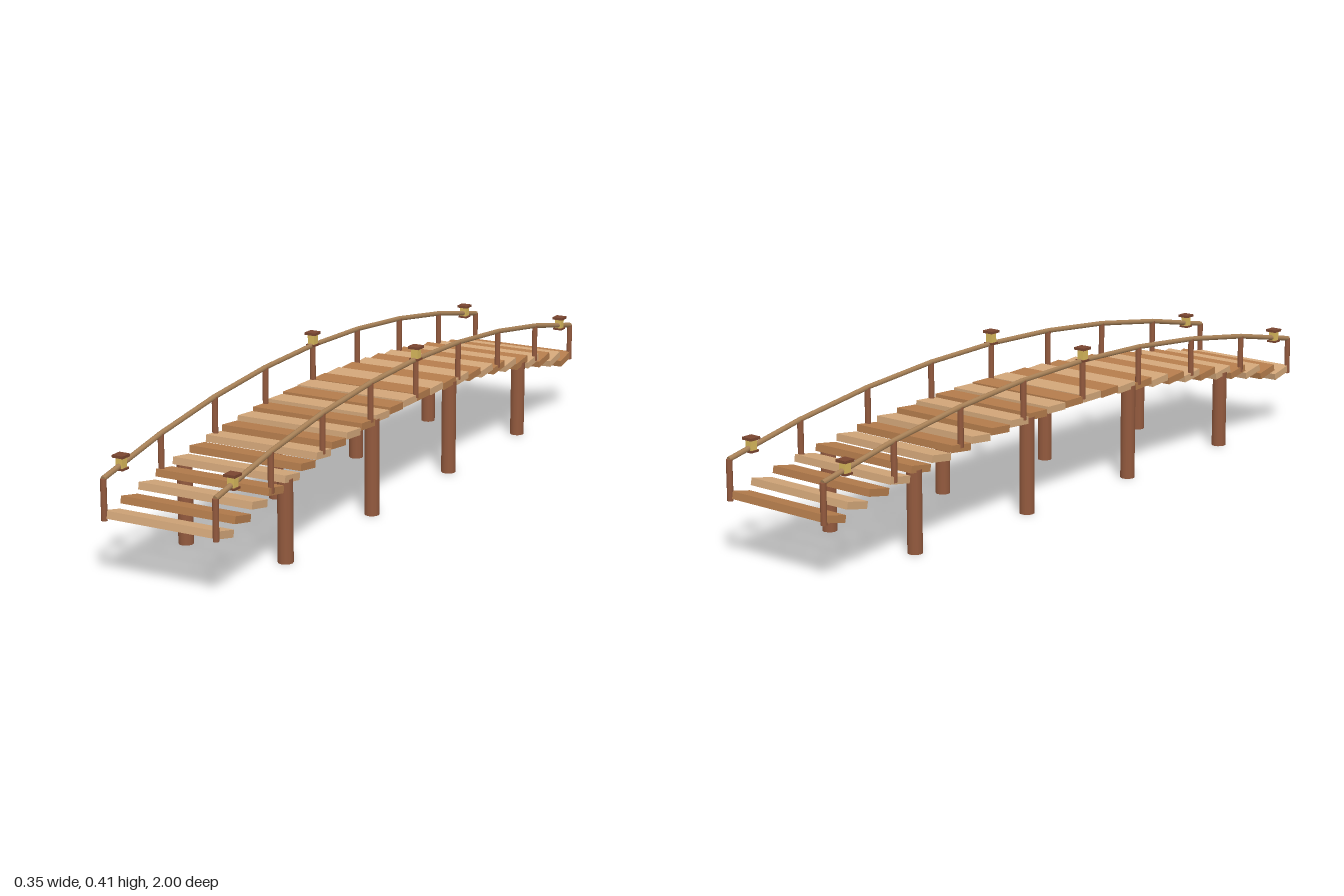
import * as THREE from 'three';

const material = (name, color) => {
  const m = new THREE.MeshStandardMaterial({ color });
  m.name = name;
  return m;
};

// Deck height along the arch
const RISE = 0.1165;
const deckY = (z) => 0.269 - RISE * z * z;
const RAIL_HEIGHT = 0.106;
const RAIL_X = 0.16;

export function createModel() {
  const lightWood = material('light plank wood', 0xd2a679);
  const darkWood = material('dark plank wood', 0xb47c4c);
  const postWood = material('post wood', 0x935a3e);
  const railWood = material('rail wood', 0xa98258);
  const capWood = material('lantern wood', 0x7a4630);
  const glow = material('lantern yellow', 0xd8b85c);

  const bridge = new THREE.Group();
  bridge.name = 'archedFootbridge';

  const add = (parent, name, geometry, mat, x, y, z) => {
    const mesh = new THREE.Mesh(geometry, mat);
    mesh.name = name;
    mesh.position.set(x, y, z);
    parent.add(mesh);
    return mesh;
  };

  // Deck planks in two alternating woods, outer edge tipped up
  const deck = new THREE.Group();
  deck.name = 'deck';
  bridge.add(deck);
  const plankGeo = new THREE.BoxGeometry(0.33, 0.019, 0.071);
  const COUNT = 26;
  for (let i = 0; i < COUNT; i++) {
    const z = ((COUNT - 1) / 2 - i) * 0.0765;
    const plank = add(deck, 'plank', plankGeo, i % 2 ? darkWood : lightWood, 0, deckY(z), z);
    plank.rotation.x = -Math.atan(2 * RISE * z);
  }

  // Support piles under the deck
  for (const z of [-0.658, -0.219, 0.219, 0.658]) {
    const h = deckY(z);
    const pileGeo = new THREE.CylinderGeometry(0.02, 0.02, h, 12);
    for (const side of [-1, 1]) add(bridge, 'supportPile', pileGeo, postWood, side * 0.148, h / 2, z);
  }

  const postGeo = new THREE.CylinderGeometry(0.008, 0.008, RAIL_HEIGHT, 8);
  const capGeo = new THREE.BoxGeometry(0.032, 0.007, 0.032);
  const baseGeo = new THREE.BoxGeometry(0.027, 0.005, 0.027);
  const bodyGeo = new THREE.BoxGeometry(0.02, 0.028, 0.02);
  const up = new THREE.Vector3(0, 1, 0);

  for (const side of [-1, 1]) {
    const railing = new THREE.Group();
    railing.name = side > 0 ? 'leftRailing' : 'rightRailing';
    bridge.add(railing);
    const x = side * RAIL_X;

    // Posts, joined by straight handrail segments
    let previous = null;
    for (let i = 0; i <= 8; i++) {
      const z = (i / 4 - 1) * 0.991;
      add(railing, 'railPost', postGeo, postWood, x, deckY(z) + RAIL_HEIGHT / 2, z);
      const top = new THREE.Vector3(x, deckY(z) + RAIL_HEIGHT, z);
      if (previous) {
        const span = top.clone().sub(previous);
        const mid = top.clone().add(previous).multiplyScalar(0.5);
        const geo = new THREE.CylinderGeometry(0.007, 0.007, span.length() + 0.002, 8);
        const rail = add(railing, 'handrail', geo, railWood, mid.x, mid.y, mid.z);
        rail.quaternion.setFromUnitVectors(up, span.normalize());
      }
      previous = top;
    }

    // Lanterns at both ends and at the crown
    for (const [z, y] of [[-0.915, 0.266], [0, 0.376], [0.915, 0.266]]) {
      const lantern = new THREE.Group();
      lantern.name = 'lantern';
      lantern.position.set(x, y, z);
      railing.add(lantern);
      add(lantern, 'lanternBase', baseGeo, capWood, 0, 0, 0);
      add(lantern, 'lanternBody', bodyGeo, glow, 0, 0.0155, 0);
      add(lantern, 'lanternCap', capGeo, capWood, 0, 0.0325, 0);
    }
  }
  return bridge;
}
